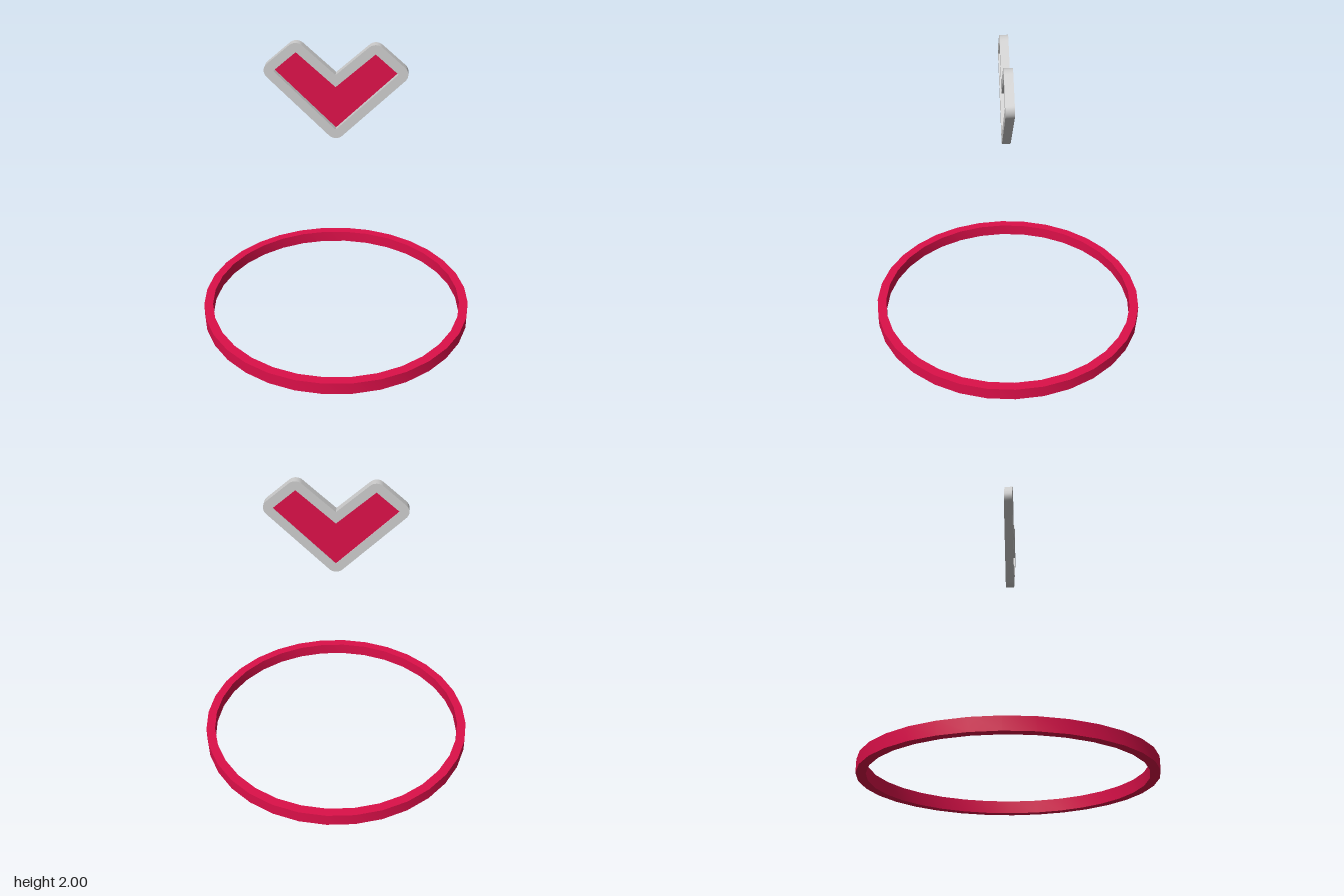
import * as THREE from 'three';
import { toCreasedNormals } from 'three/addons/utils/BufferGeometryUtils.js';

const RIM = 0.06;         // width of the border around the chevron heart
const THICK = 0.056;      // thickness of the border

// Chevron heart corners, counter-clockwise from the bottom tip
const corners = [
  [0, 1.422], [0.393, 1.813], [0.248, 1.941],
  [0, 1.717], [-0.248, 1.941], [-0.393, 1.813],
].map(([x, y]) => new THREE.Vector2(x, y));
const VALLEY = 3;

// Outline grown by a distance, with round convex corners and a sharp valley
function grownOutline(r) {
  const n = corners.length, points = [];
  const normalAngle = (a, b) => Math.atan2(a.x - b.x, b.y - a.y);
  corners.forEach((p, i) => {
    const a0 = normalAngle(corners[(i + n - 1) % n], p);
    let turn = normalAngle(p, corners[(i + 1) % n]) - a0;
    turn = Math.atan2(Math.sin(turn), Math.cos(turn));
    if (i === VALLEY) {
      points.push(new THREE.Vector2(p.x, p.y + r / Math.sin(a0 + turn / 2 > 0 ? Math.cos(turn / 2) && Math.asin(Math.cos(turn / 2)) : 1)));
      return;
    }
    const steps = 8;
    for (let k = 0; k <= steps; k++) {
      const a = a0 + (turn * k) / steps;
      points.push(new THREE.Vector2(p.x + r * Math.cos(a), p.y + r * Math.sin(a)));
    }
  });
  return points;
}

function extrude(shape, depth, z) {
  const geo = new THREE.ExtrudeGeometry(shape, { depth, bevelEnabled: false });
  geo.translate(0, 0, z);
  return toCreasedNormals(geo, 0.5);
}

export function createModel() {
  const model = new THREE.Group();
  const red = new THREE.MeshStandardMaterial({ color: 0xdc1049 });
  const grey = new THREE.MeshStandardMaterial({ color: 0xcccccc });

  const add = (parent, name, geo, mat) => {
    const mesh = new THREE.Mesh(geo, mat);
    mesh.name = name;
    parent.add(mesh);
  };

  // Ground ring: rectangular section turned in 32 steps
  const section = [[0.942, 0], [0.942, 0.085], [0.88, 0.085], [0.88, 0], [0.942, 0]]
    .map(([x, y]) => new THREE.Vector2(x, y));
  add(model, 'groundRing', toCreasedNormals(new THREE.LatheGeometry(section, 32), 0.5), red);

  // Floating chevron heart, turned about the vertical axis
  const heart = new THREE.Group();
  heart.name = 'floatingHeart';
  heart.position.set(-0.01, 0, 0.007);
  heart.rotation.y = THREE.MathUtils.degToRad(-56);
  model.add(heart);

  // Raised border with a heart-shaped opening
  const border = new THREE.Shape(grownOutline(RIM));
  border.holes.push(new THREE.Path(corners));
  add(heart, 'heartBorder', extrude(border, THICK, -THICK / 2), grey);

  // Inset panel, sunk deep on the front and shallow on the back
  add(heart, 'heartPanel', extrude(new THREE.Shape(corners), 0.012, -0.022), red);

  return model;
}
